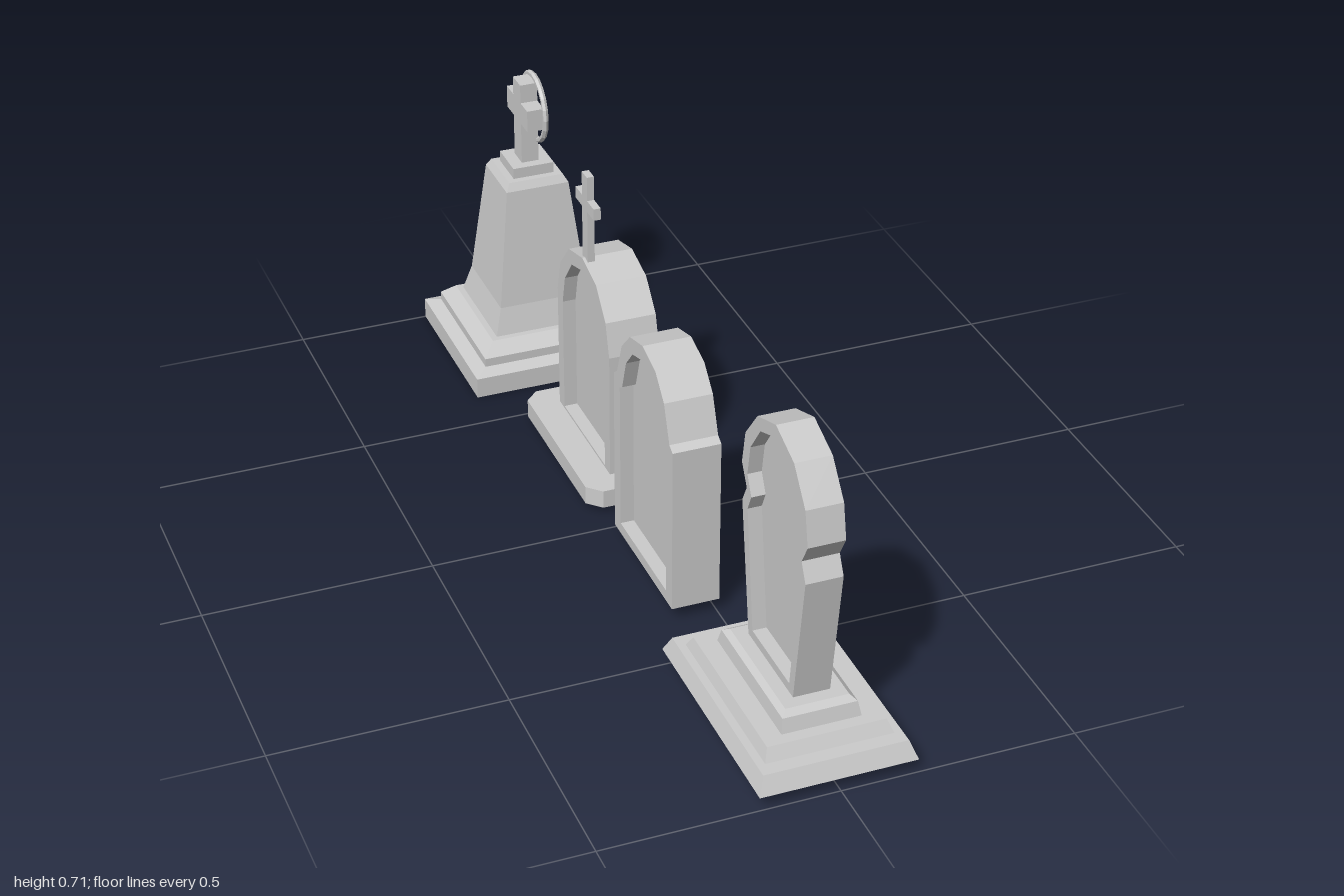
import * as THREE from 'three';

const stone = new THREE.MeshStandardMaterial({ color: 0xcccccc, flatShading: true, side: THREE.DoubleSide });

function add(parent, name, geometry, x = 0, y = 0, z = 0) {
  const mesh = new THREE.Mesh(geometry, stone);
  mesh.name = name;
  mesh.position.set(x, y, z);
  parent.add(mesh);
  return mesh;
}

// Skins a row of equal-length loops; caps are fans around the loop's middle.
// openBand names one band whose last side is left out.
function loft(loops, { capStart = true, capEnd = true, openBand = -1 } = {}) {
  const pos = [];
  const tri = (...pts) => pts.forEach(p => pos.push(...p));
  const n = loops[0].length;
  const middle = loop => [0, 1, 2].map(k => {
    const values = loop.map(p => p[k]);
    return (Math.min(...values) + Math.max(...values)) / 2;
  });
  for (let b = 0; b < loops.length - 1; b++) {
    const A = loops[b], B = loops[b + 1];
    for (let i = 0; i < n; i++) {
      if (b === openBand && i === n - 1) continue;
      const j = (i + 1) % n;
      tri(A[i], B[i], B[j]);
      tri(A[i], B[j], A[j]);
    }
  }
  const first = loops[0], last = loops[loops.length - 1];
  for (let i = 0; i < n; i++) {
    const j = (i + 1) % n;
    if (capStart) tri(middle(first), first[i], first[j]);
    if (capEnd) tri(middle(last), last[j], last[i]);
  }
  const g = new THREE.BufferGeometry();
  g.setAttribute('position', new THREE.Float32BufferAttribute(pos, 3));
  g.computeVertexNormals();
  return g;
}

// Horizontal rectangle loop
const rect = (hx, y, hz) => [[hx, y, -hz], [-hx, y, -hz], [-hx, y, hz], [hx, y, hz]];

// Horizontal rectangle loop with cut corners
const cutRect = (hx, y, hz, c) => [
  [hx, y, -hz + c], [hx - c, y, -hz], [-hx + c, y, -hz], [-hx, y, -hz + c],
  [-hx, y, hz - c], [-hx + c, y, hz], [hx - c, y, hz], [hx, y, hz - c],
];

// Upright slab from a [halfWidth, y] half profile, flat on +x, recessed panel on -x
function slab(half, xFront, xBack, rim, bottomRim, depth, openBottom) {
  const y0 = half[0][1], y1 = half[half.length - 1][1];
  const loop = (pts, x) => [
    ...pts.map(([w, y]) => [x, y, -w]),
    ...pts.slice(0, -1).reverse().map(([w, y]) => [x, y, w]),
  ];
  const widest = Math.max(...half.map(p => p[0]));
  const inner = half.map(([w, y]) => [
    w * (widest - rim) / widest,
    y0 + bottomRim + (y - y0) * (y1 - y0 - rim - bottomRim) / (y1 - y0),
  ]);
  return loft(
    [loop(half, xFront), loop(half, xBack), loop(inner, xBack), loop(inner, xBack + depth)],
    { openBand: openBottom ? 0 : -1 },
  );
}

function group(parent, name, x, z) {
  const g = new THREE.Group();
  g.name = name;
  g.position.set(x, 0, z);
  parent.add(g);
  return g;
}

export function createModel() {
  const root = new THREE.Group();
  root.name = 'gravestones';

  // Waisted stone on three sloping steps
  const waisted = group(root, 'waistedGravestone', -0.003, 0.744);
  add(waisted, 'steppedBase', loft([
    rect(0.067, 0.133, 0.14), rect(0.079, 0.123, 0.155), rect(0.084, 0.093, 0.164),
    rect(0.125, 0.093, 0.19), rect(0.135, 0.067, 0.206),
    rect(0.152, 0.067, 0.237), rect(0.166, 0.03, 0.256),
  ]));
  add(waisted, 'waistedSlab', slab([
    [0.112, 0.133], [0.155, 0.425], [0.134, 0.465], [0.16, 0.51],
    [0.145, 0.585], [0.088, 0.655], [0, 0.687],
  ], 0.039, -0.039, 0.028, 0.02, 0.03, false));

  // Plain shouldered stone
  const shouldered = group(root, 'shoulderedGravestone', 0, 0.2);
  add(shouldered, 'shoulderedSlab', slab([
    [0.167, 0.03], [0.168, 0.41], [0.15, 0.42], [0.12, 0.5],
    [0.072, 0.548], [0, 0.567],
  ], 0.004, -0.101, 0.035, 0.025, 0.03, true));

  // Arched stone with a small cross, on a hollow cut-corner base
  const arched = group(root, 'archedGravestone', 0, -0.278);
  add(arched, 'cutCornerBase', loft([
    cutRect(0.057, 0.056, 0.162, 0), cutRect(0.124, 0.056, 0.22, 0.03), cutRect(0.124, 0.014, 0.22, 0.03),
  ], { capStart: false, capEnd: false }));
  add(arched, 'archedSlab', slab([
    [0.162, 0.056], [0.163, 0.35], [0.142, 0.425], [0.085, 0.488], [0, 0.51],
  ], 0.057, -0.057, 0.032, 0.005, 0.03, true));
  add(arched, 'crossShaft', new THREE.BoxGeometry(0.016, 0.21, 0.032), -0.042, 0.605, 0);
  add(arched, 'crossArms', new THREE.BoxGeometry(0.016, 0.027, 0.112), -0.042, 0.641, 0);

  // Tapered monument with a ringed cross
  const monument = group(root, 'taperedMonument', -0.001, -0.803);
  const square = ([h, y]) => rect(h, y, h);
  add(monument, 'monumentBase', loft([
    [0.137, 0.105], [0.166, 0.078], [0.166, 0.058], [0.197, 0.048], [0.197, 0],
  ].map(square)));
  add(monument, 'monumentBody', loft([
    [0.064, 0.463], [0.074, 0.445], [0.106, 0.168], [0.123, 0.105],
  ].map(square)));
  add(monument, 'crossPlinth', new THREE.BoxGeometry(0.096, 0.026, 0.096), 0, 0.475, 0);
  add(monument, 'ringedCrossShaft', new THREE.BoxGeometry(0.04, 0.196, 0.05), 0, 0.584, 0);
  add(monument, 'ringedCrossArms', new THREE.BoxGeometry(0.04, 0.052, 0.14), 0, 0.612, 0);
  add(monument, 'crossRing', new THREE.TorusGeometry(0.077, 0.007, 6, 20), 0.021, 0.612, 0).rotation.y = Math.PI / 2;

  return root;
}
